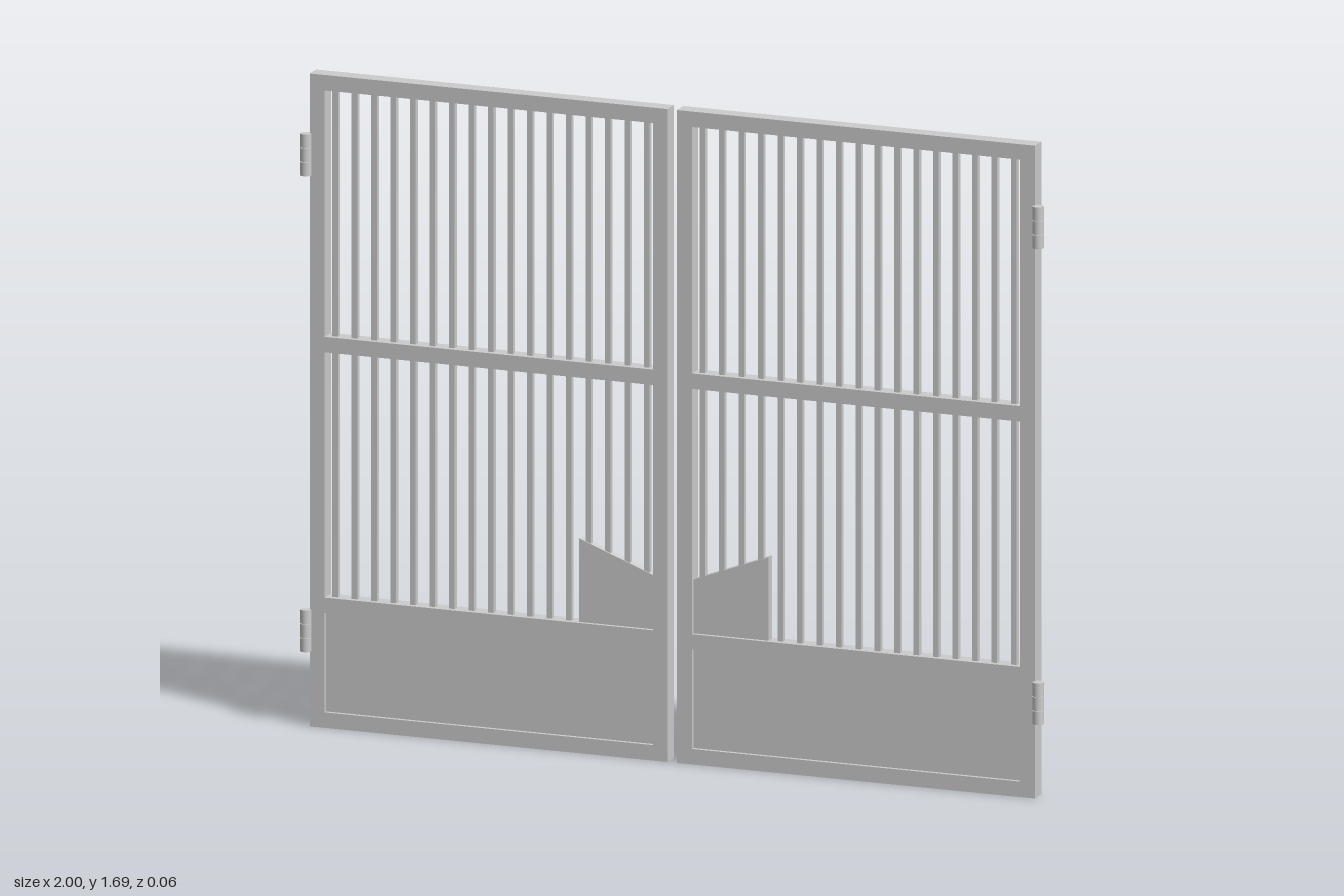
import * as THREE from 'three';

const material = new THREE.MeshStandardMaterial({ color: 0xcccccc });

// Main dimensions of one leaf
const HEIGHT = 1.69, INNER = 0.0125, OUTER = 0.976, TUBE = 0.04;
const DEPTH = 0.043, MID_Z = -0.0085;
const OPEN_IN = INNER + TUBE, OPEN_OUT = OUTER - TUBE;
const SHEET = 0.022, BAR = 0.015, BAR_COUNT = 17;
const RAIL_TOP = 0.337;

// Box given by its x and y limits, centred in the leaf's depth
function slab(name, x0, x1, y0, y1, depth) {
  const mesh = new THREE.Mesh(new THREE.BoxGeometry(x1 - x0, y1 - y0, depth), material);
  mesh.position.set((x0 + x1) / 2, (y0 + y1) / 2, MID_Z);
  mesh.name = name;
  return mesh;
}

// Barrel hinge: three knuckles on a pin
function createHinge(y0, y1) {
  const hinge = new THREE.Group();
  hinge.name = 'hinge';
  const gap = 0.002, h = (y1 - y0 - 2 * gap) / 3;
  for (let i = 0; i < 3; i++) {
    const knuckle = new THREE.Mesh(new THREE.CylinderGeometry(0.0145, 0.0145, h, 20), material);
    knuckle.position.y = y0 + h / 2 + i * (h + gap);
    knuckle.name = 'hingeKnuckle';
    hinge.add(knuckle);
  }
  const pin = new THREE.Mesh(new THREE.CylinderGeometry(0.011, 0.011, y1 - y0 - 0.002, 16), material);
  pin.position.y = (y0 + y1) / 2;
  pin.name = 'hingePin';
  hinge.add(pin);
  hinge.position.set(0.9855, 0, 0.0155);
  return hinge;
}

// Gate leaf; side = 1 for the left leaf (+x), -1 for the right
function createLeaf(side) {
  const leaf = new THREE.Group();
  leaf.name = side > 0 ? 'leftLeaf' : 'rightLeaf';

  // Frame posts and cross rails
  leaf.add(slab('innerPost', INNER, OPEN_IN, 0, HEIGHT, DEPTH));
  leaf.add(slab('outerPost', OPEN_OUT, OUTER, 0, HEIGHT, DEPTH));
  const rails = { bottomRail: TUBE, panelRail: RAIL_TOP, middleRail: 1.012, topRail: HEIGHT };
  for (const [name, top] of Object.entries(rails)) {
    leaf.add(slab(name, OPEN_IN, OPEN_OUT, top - TUBE, top, DEPTH));
  }

  // Recessed kick panel
  leaf.add(slab('kickPanel', OPEN_IN, OPEN_OUT, TUBE, RAIL_TOP - TUBE, SHEET));

  // Vertical bars, in two rows
  const first = OPEN_IN + 0.0225, last = OPEN_OUT - 0.0225;
  for (let i = 0; i < BAR_COUNT; i++) {
    const x = first + (last - first) * i / (BAR_COUNT - 1);
    leaf.add(slab('lowerBar', x - BAR / 2, x + BAR / 2, RAIL_TOP, 0.972, BAR));
    leaf.add(slab('upperBar', x - BAR / 2, x + BAR / 2, 1.012, HEIGHT - TUBE, BAR));
  }

  // Sloped lock plate beside the inner post
  const outline = new THREE.Shape([
    new THREE.Vector2(OPEN_IN, RAIL_TOP),
    new THREE.Vector2(0.255, RAIL_TOP),
    new THREE.Vector2(0.255, 0.553),
    new THREE.Vector2(OPEN_IN, 0.476),
  ]);
  const plate = new THREE.Mesh(
    new THREE.ExtrudeGeometry(outline, { depth: SHEET, bevelEnabled: false }), material);
  plate.position.z = MID_Z - SHEET / 2;
  plate.name = 'lockPlate';
  leaf.add(plate);

  // Hinges on the outer post
  leaf.add(createHinge(0.195, 0.303), createHinge(1.427, 1.535));

  leaf.scale.x = side;
  return leaf;
}

export function createModel() {
  const gate = new THREE.Group();
  gate.name = 'doubleGate';
  gate.add(createLeaf(1), createLeaf(-1));
  return gate;
}
